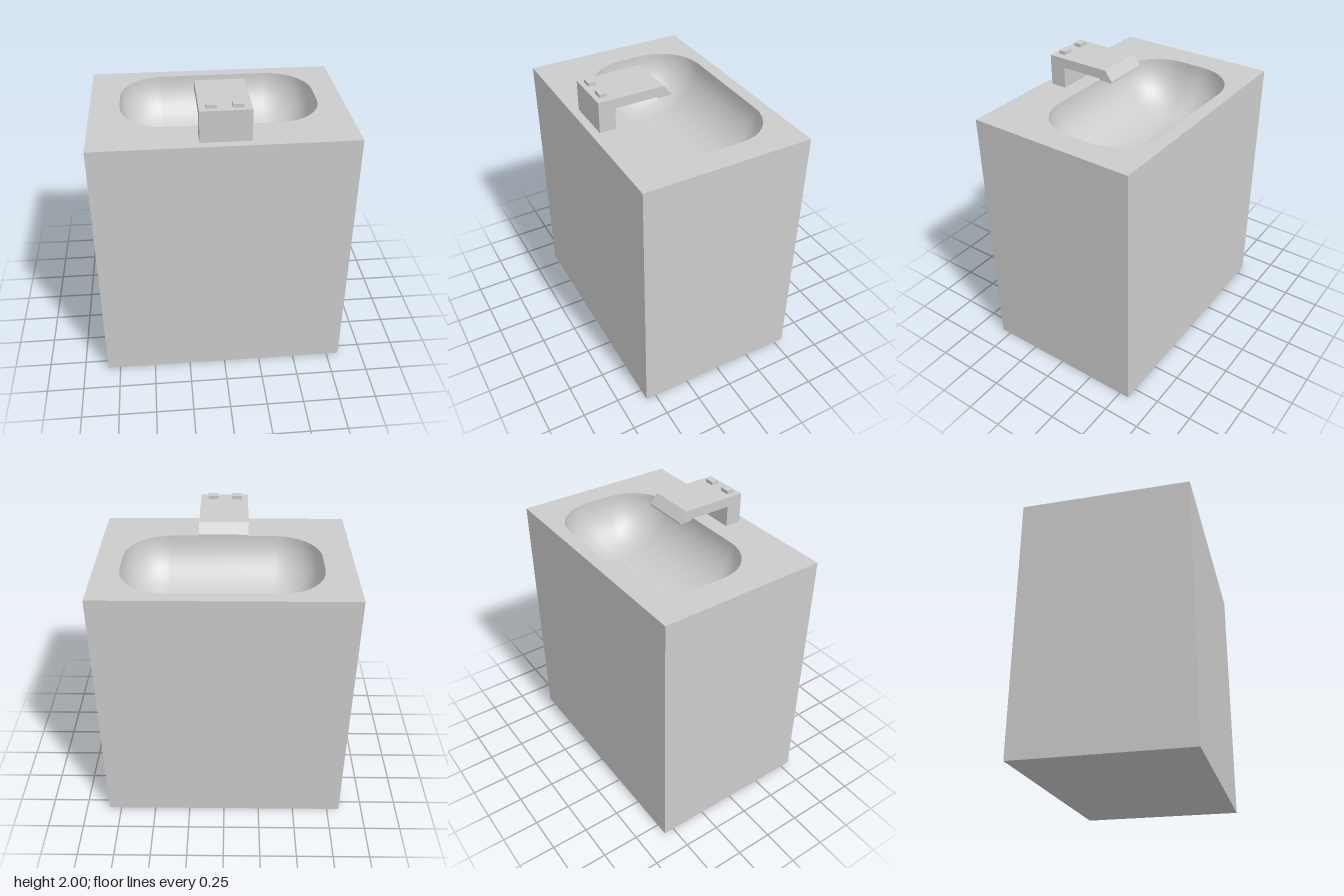
import * as THREE from 'three';
import { mergeGeometries } from 'three/addons/utils/BufferGeometryUtils.js';

const W = 1.67, D = 1.14, H = 1.77;          // cabinet
const CX = 0.0125, CZ = -0.097;              // basin centre
const FLAT_X = 0.35, END = 0.3025, HALF_Z = 0.3875, CORNER = 0.3, DEPTH = 0.34;
const ARC = 8, RINGS = 20;

// Rounded-rectangle outline of the basin, shrinking to a line as s goes from 1 to 0.
// Points are [x, z], counter-clockwise seen from above.
function outline(s) {
  const hx = FLAT_X + END * s, hz = HALF_Z * s, r = CORNER * s;
  const points = [];
  [[1, 1], [-1, 1], [-1, -1], [1, -1]].forEach(([sx, sy], q) => {
    for (let i = 0; i <= ARC; i++) {
      const a = (q + i / ARC) * Math.PI / 2;
      const x = sx * (hx - r) + r * Math.cos(a);
      const y = sy * (hz - r) + r * Math.sin(a);
      points.push([CX + x, CZ - y]);
    }
  });
  return points;
}

// Box without its lid, plus a top with the basin opening
function cabinetGeometry() {
  const box = new THREE.BoxGeometry(W, H, D).translate(0, H / 2, 0);
  const index = Array.from(box.index.array);
  index.splice(12, 6);
  box.setIndex(index);
  box.clearGroups();

  const shape = new THREE.Shape([[-1, -1], [1, -1], [1, 1], [-1, 1]]
    .map(([x, y]) => new THREE.Vector2(x * W / 2, y * D / 2)));
  shape.holes.push(new THREE.Path(outline(1).map(([x, z]) => new THREE.Vector2(x, -z))));
  const top = new THREE.ShapeGeometry(shape).rotateX(-Math.PI / 2).translate(0, H, 0);
  return mergeGeometries([box, top]);
}

// Bowl lofted through shrinking outlines
function basinGeometry() {
  const positions = [], index = [];
  const n = 4 * (ARC + 1);
  for (let j = 0; j <= RINGS; j++) {
    const t = (j / RINGS) * Math.PI / 2;
    for (const [x, z] of outline(Math.max(Math.cos(t), 0.002))) {
      positions.push(x, H - DEPTH * Math.sin(t), z);
    }
  }
  for (let j = 0; j < RINGS; j++) {
    for (let i = 0; i < n; i++) {
      const k = (i + 1) % n;
      const a = j * n + i, b = j * n + k, c = b + n, d = a + n;
      index.push(a, b, c, a, c, d);
    }
  }
  const g = new THREE.BufferGeometry();
  g.setAttribute('position', new THREE.Float32BufferAttribute(positions, 3));
  g.setIndex(index);
  g.computeVertexNormals();
  return g;
}

// Side profile [z, y] of post, arm and sloping spout, extruded across x
function faucetGeometry() {
  const profile = [
    [0.515, H], [0.405, H], [0.405, 1.912], [0.11, 1.912],
    [0.11, 1.902], [0.02, 1.902], [0.02, 1.912], [0.07, 1.977], [0.515, 1.977],
  ];
  const shape = new THREE.Shape(profile.map(([z, y]) => new THREE.Vector2(-z, y)));
  return new THREE.ExtrudeGeometry(shape, { depth: 0.32, bevelEnabled: false })
    .rotateY(Math.PI / 2).translate(-0.154, 0, 0);
}

export function createModel() {
  const group = new THREE.Group();
  group.name = 'sink';
  const material = new THREE.MeshStandardMaterial({ color: 0xcccccc });
  const add = (name, geometry, mat = material) => {
    const mesh = new THREE.Mesh(geometry, mat);
    mesh.name = name;
    group.add(mesh);
    return mesh;
  };

  add('cabinet', cabinetGeometry());
  const bowlMaterial = material.clone();
  bowlMaterial.side = THREE.DoubleSide;
  add('basin', basinGeometry(), bowlMaterial);
  add('faucet', faucetGeometry());

  // Tap buttons on top of the faucet
  for (const [name, x] of [['rightButton', -0.079], ['leftButton', 0.082]]) {
    add(name, new THREE.BoxGeometry(0.068, 0.03, 0.05)).position.set(x, 1.985, 0.457);
  }
  return group;
}
